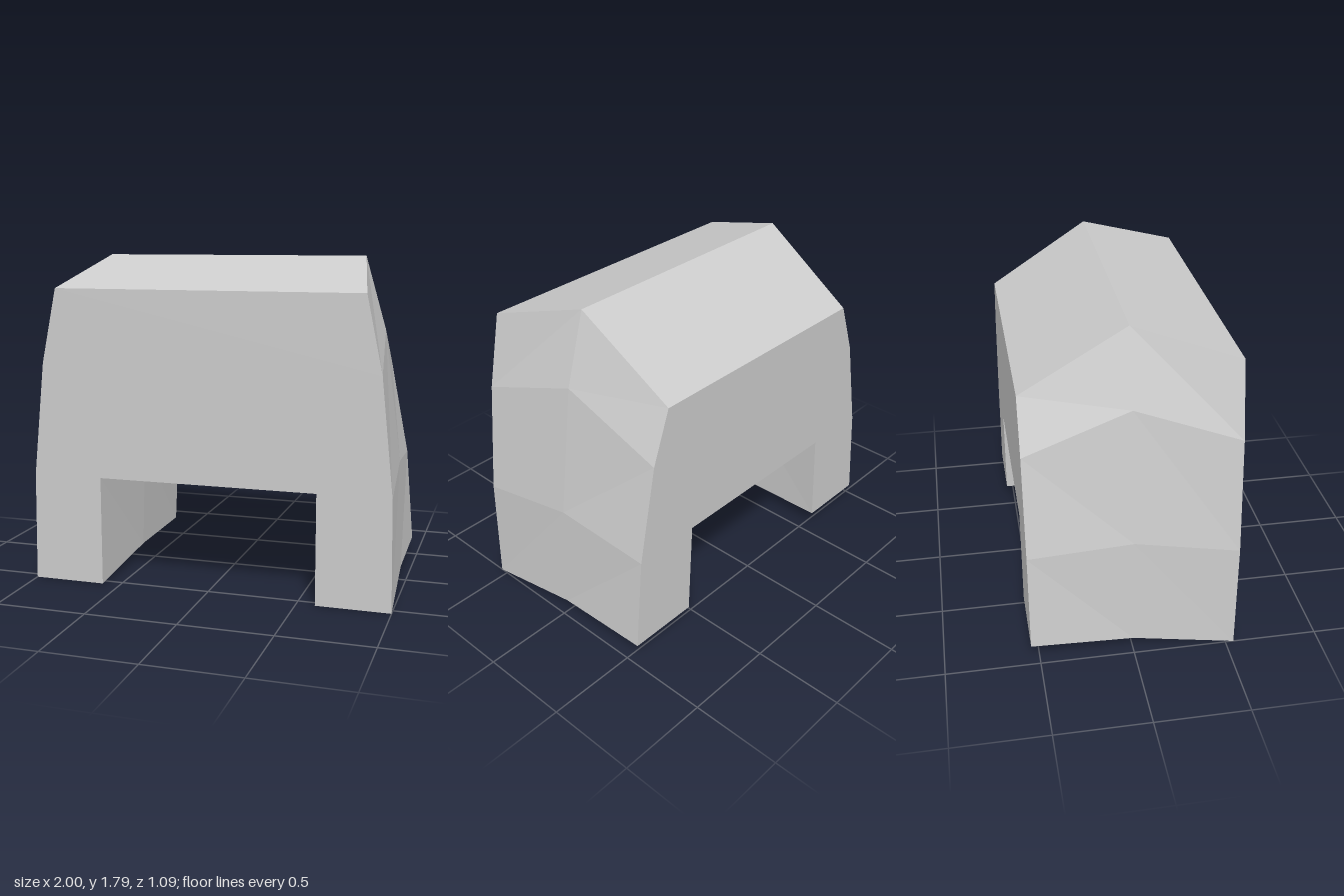
import * as THREE from 'three';

// Half outlines (+x side), front to back: notch top, inner foot, outer foot, then up the flank to the ridge
const SECTIONS = [
  { z: 0.545, half: [[0.6, 0.6], [0.6, 0], [1, 0], [0.99, 0.6], [0.925, 1.22], [0.84, 1.625]] },
  { z: 0, half: [[0.555, 0.68], [0.575, 0.075], [0.97, 0.075], [0.95, 0.68], [0.855, 1.4], [0.74, 1.795]] },
  { z: -0.545, half: [[0.54, 0.63], [0.565, 0.09], [0.965, 0.09], [0.92, 0.625], [0.815, 1.16], [0.71, 1.45]] },
];

// Mirror a half outline into a closed counter-clockwise ring
function ringOf({ z, half }) {
  const mirrored = half.map(([x, y]) => [-x, y]).reverse();
  return [...half, ...mirrored].map(([x, y]) => new THREE.Vector3(x, y, z));
}

function loftGeometry(sections) {
  const rings = sections.map(ringOf);
  const n = rings[0].length;
  const points = [];

  // Walls between neighbouring sections, diagonals mirrored left to right
  for (let s = 0; s < rings.length - 1; s++) {
    const a = rings[s], b = rings[s + 1];
    for (let i = 0; i < n; i++) {
      const j = (i + 1) % n;
      if (i < n / 2) points.push(a[i], b[i], b[j], a[i], b[j], a[j]);
      else points.push(a[i], b[i], a[j], b[i], b[j], a[j]);
    }
  }

  // Flat front and back faces
  const cap = (ring, flip) => {
    const flat = ring.map((p) => new THREE.Vector2(p.x, p.y));
    for (const [i, j, k] of THREE.ShapeUtils.triangulateShape(flat, [])) {
      points.push(ring[i], ring[flip ? k : j], ring[flip ? j : k]);
    }
  };
  cap(rings[0], false);
  cap(rings[rings.length - 1], true);

  const geometry = new THREE.BufferGeometry().setFromPoints(points);
  geometry.computeVertexNormals();
  return geometry;
}

export function createModel() {
  const group = new THREE.Group();
  group.name = 'archBlock';

  const grey = new THREE.MeshStandardMaterial({ color: 0xcccccc });
  grey.name = 'light grey';

  const body = new THREE.Mesh(loftGeometry(SECTIONS), grey);
  body.name = 'archedBody';
  group.add(body);
  return group;
}
